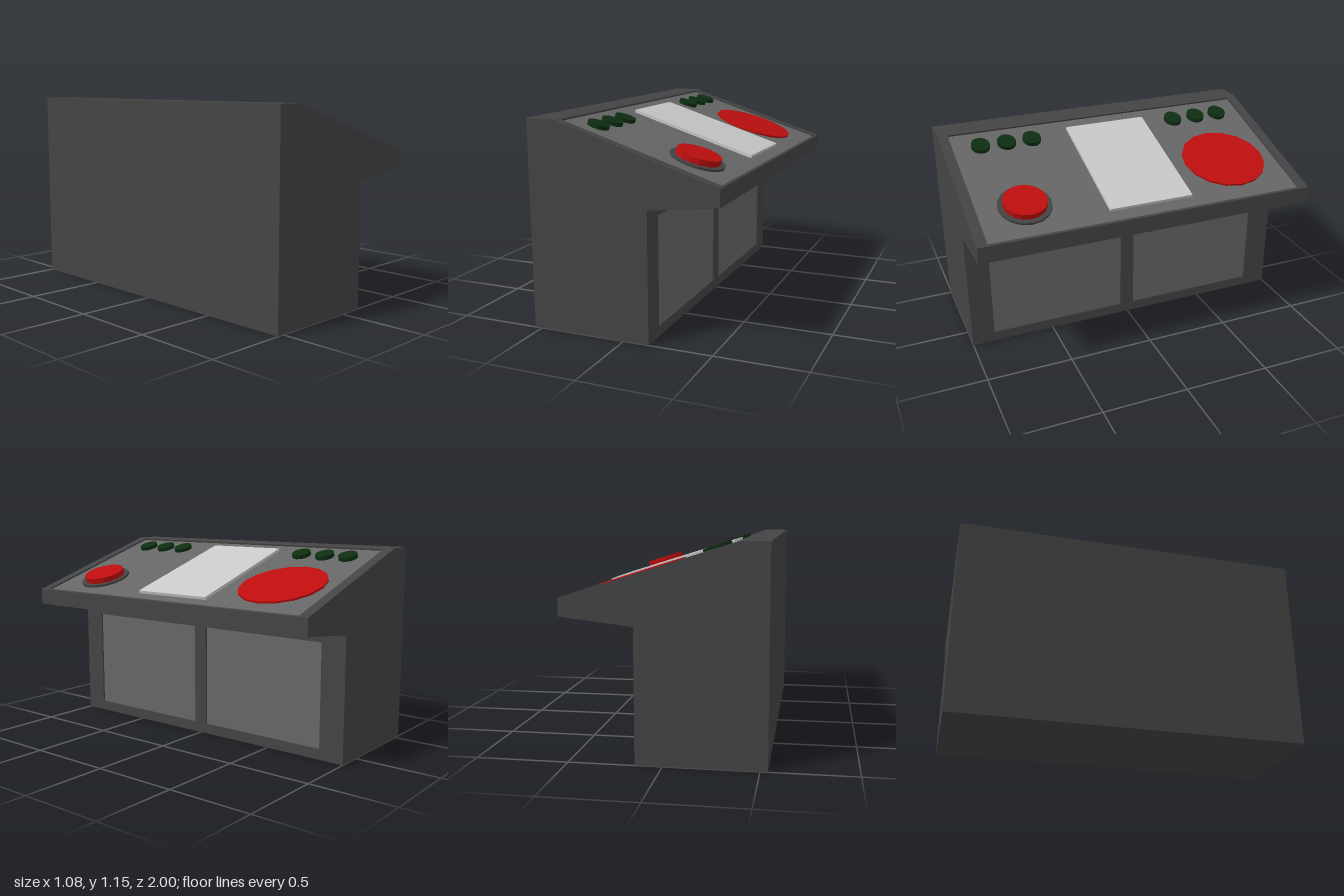
import * as THREE from 'three';

const material = (name, color) => {
  const m = new THREE.MeshStandardMaterial({ color });
  m.name = name;
  return m;
};

export function createModel() {
  const model = new THREE.Group();
  model.name = 'controlConsole';

  const charcoal = material('charcoal', 0x444444);
  const grey = material('grey', 0x666666);
  const lightGrey = material('lightGrey', 0xc8c8c8);
  const red = material('red', 0xbe0e0e);
  const darkGreen = material('darkGreen', 0x0d2e11);

  // Sloped desk: s runs down the slope, h stands off its surface
  const top = [-0.39, 1.153], lip = [0.535, 0.86];
  const slope = Math.atan2(top[1] - lip[1], lip[0] - top[0]);
  const onSlope = (s, h) => [
    top[0] + s * Math.cos(slope) + h * Math.sin(slope),
    top[1] - s * Math.sin(slope) + h * Math.cos(slope),
  ];

  const recess = 0.014, plate = 0.004;
  const panel = { s0: 0.022, s1: 0.955, z0: -0.94, z1: 0.94 };
  const doors = [{ z0: -0.85, z1: -0.04 }, { z0: 0.045, z1: 0.865 }];
  const doorLow = 0.06, doorHigh = 0.665, frontX = 0.145;

  // Side outline, notched where the desk panel or a door is let in
  function outline(hasPanel, hasDoor) {
    const points = [[-0.54, 0], [frontX, 0]];
    if (hasDoor) {
      points.push([frontX, doorLow], [frontX - recess, doorLow],
        [frontX - recess, doorHigh], [frontX, doorHigh]);
    }
    points.push([frontX, 0.72], [0.535, 0.765], lip);
    if (hasPanel) {
      points.push(onSlope(panel.s1, 0), onSlope(panel.s1, -recess),
        onSlope(panel.s0, -recess), onSlope(panel.s0, 0));
    }
    points.push(top, [-0.54, 1.153]);
    return new THREE.Shape(points.map(([x, y]) => new THREE.Vector2(x, y)));
  }

  // Cabinet, built from slices along its width
  const cabinet = new THREE.Group();
  cabinet.name = 'cabinet';
  const cuts = [-1, panel.z0, ...doors.flatMap(d => [d.z0, d.z1]), panel.z1, 1];
  for (let i = 0; i < cuts.length - 1; i++) {
    const middle = (cuts[i] + cuts[i + 1]) / 2;
    const inside = d => middle > d.z0 && middle < d.z1;
    const geometry = new THREE.ExtrudeGeometry(outline(inside(panel), doors.some(inside)), {
      depth: cuts[i + 1] - cuts[i], bevelEnabled: false,
    });
    const slice = new THREE.Mesh(geometry, charcoal);
    slice.name = 'cabinetSlice';
    slice.position.z = cuts[i];
    cabinet.add(slice);
  }
  model.add(cabinet);

  function addBox(parent, name, mat, size, position) {
    const mesh = new THREE.Mesh(new THREE.BoxGeometry(...size), mat);
    mesh.name = name;
    mesh.position.set(...position);
    parent.add(mesh);
  }

  // Recessed front doors
  for (const d of doors) {
    addBox(model, 'door', grey, [plate, doorHigh - doorLow, d.z1 - d.z0],
      [frontX - recess + plate / 2, (doorLow + doorHigh) / 2, (d.z0 + d.z1) / 2]);
  }

  // Desk controls, laid flat and tilted together
  const desk = new THREE.Group();
  desk.name = 'desk';
  desk.position.set(top[0], top[1], 0);
  desk.rotation.z = -slope;
  model.add(desk);

  addBox(desk, 'deskPanel', grey, [panel.s1 - panel.s0, plate, panel.z1 - panel.z0],
    [(panel.s0 + panel.s1) / 2, -recess + plate / 2, 0]);
  addBox(desk, 'screen', lightGrey, [0.766, 0.018, 0.505], [0.487, -0.002, -0.024]);

  // Round part standing on the panel, with its top at the given height
  function addDisc(name, mat, x, z, rx, rz, height) {
    const depth = height + recess;
    const mesh = new THREE.Mesh(new THREE.CylinderGeometry(1, 1, depth, 16).toNonIndexed(), mat);
    mesh.geometry.scale(rx, 1, rz);
    mesh.geometry.computeVertexNormals();
    mesh.name = name;
    mesh.position.set((x - top[0]) / Math.cos(slope), height - depth / 2, z);
    desk.add(mesh);
  }

  addDisc('largeDial', red, 0.18, -0.615, 0.251, 0.255, 0.001);
  addDisc('buttonBase', charcoal, 0.288, 0.67, 0.153, 0.152, 0.003);
  addDisc('pushButton', red, 0.288, 0.67, 0.124, 0.124, 0.036);
  for (const z of [-0.785, -0.63, -0.47, 0.465, 0.62, 0.777]) {
    addDisc('smallButton', darkGreen, -0.238, z, 0.061, 0.055, 0.013);
  }

  return model;
}
